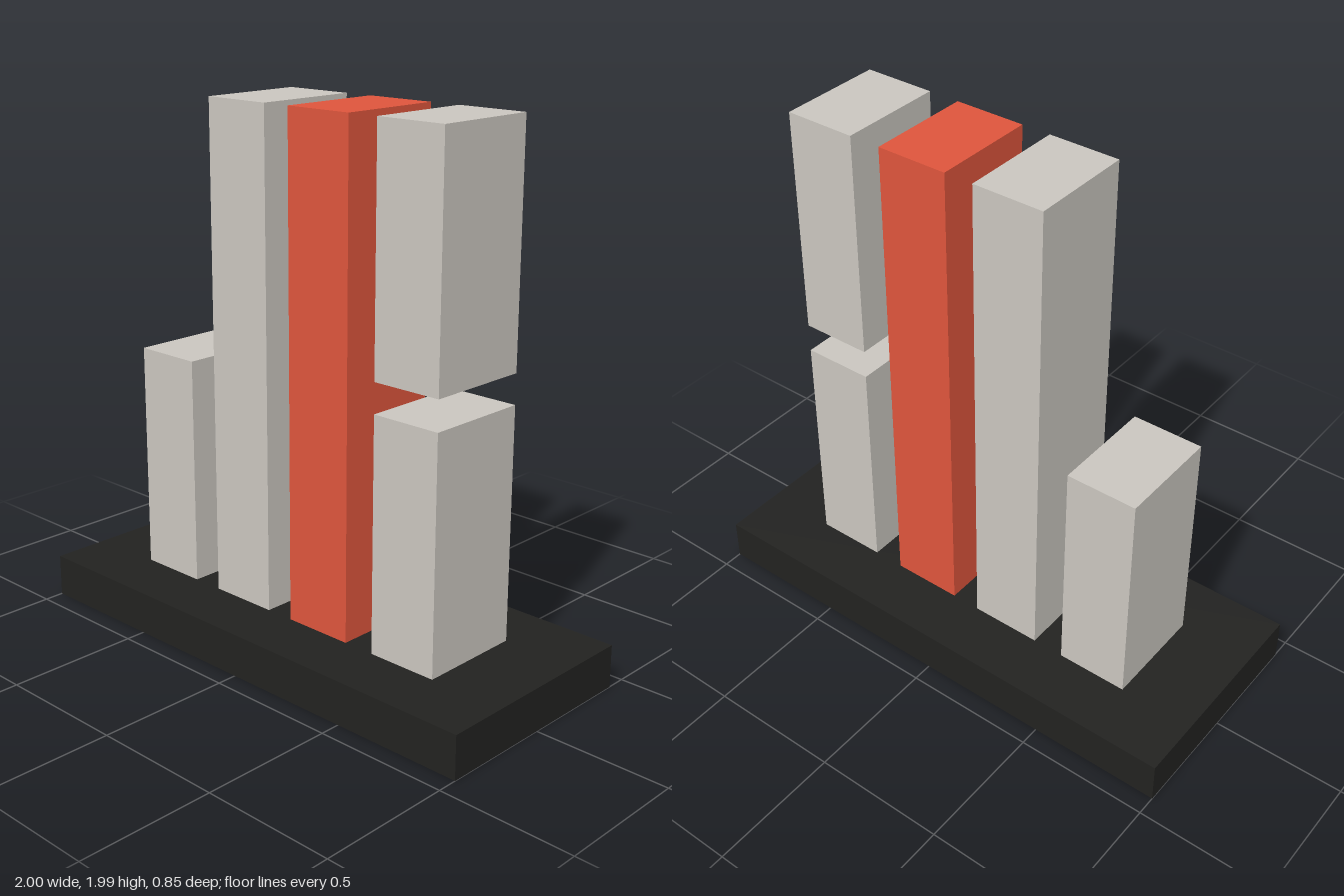
import * as THREE from 'three';

const BASE_TOP = 0.16;
const BAR_TOP = 1.985;
const BAR_WIDTH = 0.27;
const BAR_DEPTH = 0.4;

export function createModel() {
  const model = new THREE.Group();
  model.name = 'barSculpture';

  const dark = new THREE.MeshStandardMaterial({ color: 0x222220 });
  const pale = new THREE.MeshStandardMaterial({ color: 0xcac6bf });
  const red = new THREE.MeshStandardMaterial({ color: 0xde553c });

  // Box centred on z = 0, spanning bottom to top
  function addBlock(name, x, bottom, top, width, depth, material) {
    const mesh = new THREE.Mesh(new THREE.BoxGeometry(width, top - bottom, depth), material);
    mesh.name = name;
    mesh.position.set(x, (bottom + top) / 2, 0);
    model.add(mesh);
  }
  const addBar = (name, x, bottom, top, material) =>
    addBlock(name, x, bottom, top, BAR_WIDTH, BAR_DEPTH, material);

  // Plinth
  addBlock('base', 0, 0, BASE_TOP, 2, 0.85, dark);

  // Four evenly spaced bars, the last one split by a gap
  addBar('shortBar', -0.58, BASE_TOP, 1.02, pale);
  addBar('tallBar', -0.19, BASE_TOP, BAR_TOP, pale);
  addBar('redBar', 0.19, BASE_TOP, BAR_TOP, red);
  addBar('splitBarLower', 0.58, BASE_TOP, 1.02, pale);
  addBar('splitBarUpper', 0.58, 1.13, BAR_TOP, pale);

  return model;
}
